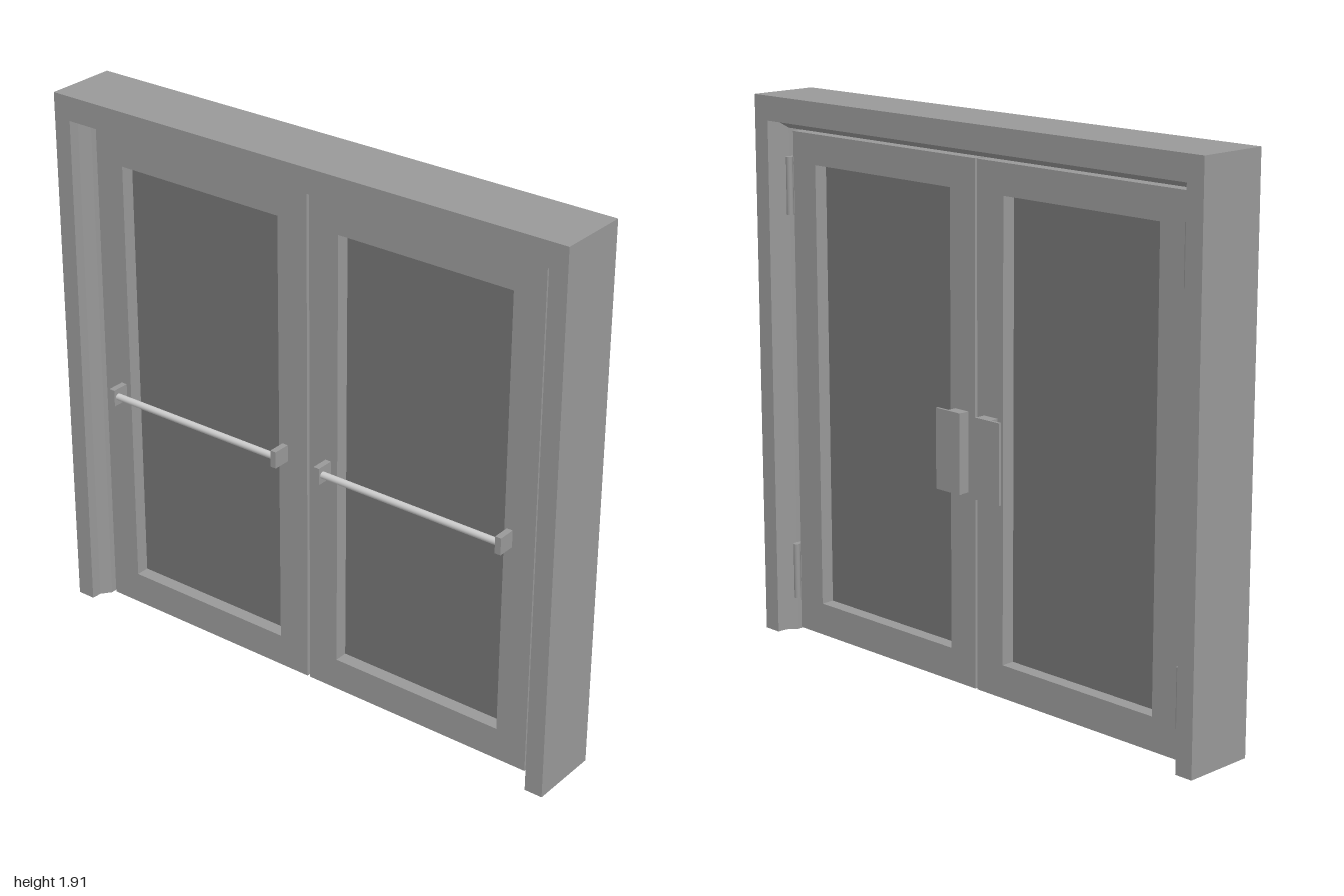
import * as THREE from 'three';

const grey = new THREE.MeshStandardMaterial({ color: 0x999999 });
const pane = new THREE.MeshStandardMaterial({ color: 0x757575 });
const steel = new THREE.MeshStandardMaterial({ color: 0xcccccc });

function add(parent, name, geometry, x = 0, y = 0, z = 0, material = grey) {
  const mesh = new THREE.Mesh(geometry, material);
  mesh.name = name;
  mesh.position.set(x, y, z);
  parent.add(mesh);
  return mesh;
}

// Chamfered section swept with mitred corners: up one jamb, along the head, down the other
function frameGeometry() {
  const H = 1.912;
  const section = [[0, -0.128], [0, 0.128], [0.065, 0.128], [0.067, 0.092], [0.093, 0.058],
    [0.093, -0.058], [0.067, -0.092], [0.065, -0.128]];
  const rings = [0, 1, 2, 3].map(i => section.map(([inset, z]) => {
    const side = i < 2 ? -1 : 1;
    const top = H - inset - (inset > 0 ? 0.02 : 0);
    return [side * (1 - inset), i === 1 || i === 2 ? top : 0, z];
  }));
  const positions = [];
  const tri = (a, b, c) => positions.push(...a, ...b, ...c);
  const n = section.length;
  for (let i = 0; i < 3; i++) {
    for (let j = 0; j < n; j++) {
      const k = (j + 1) % n;
      const [a, b, c, d] = [rings[i][j], rings[i][k], rings[i + 1][k], rings[i + 1][j]];
      tri(a, b, c);
      tri(a, c, d);
    }
  }
  // Feet of the jambs
  const outline = section.map(([inset, z]) => new THREE.Vector2(inset, z));
  for (const [a, b, c] of THREE.ShapeUtils.triangulateShape(outline, [])) {
    const [p, q, r] = [a, b, c].sort((u, v) => u - v);
    tri(rings[0][p], rings[0][r], rings[0][q]);
    tri(rings[3][p], rings[3][q], rings[3][r]);
  }
  const geometry = new THREE.BufferGeometry();
  geometry.setAttribute('position', new THREE.Float32BufferAttribute(positions, 3));
  geometry.computeVertexNormals();
  return geometry;
}

function rectangle(path, x0, y0, x1, y1) {
  path.moveTo(x0, y0);
  path.lineTo(x1, y0);
  path.lineTo(x1, y1);
  path.lineTo(x0, y1);
  path.closePath();
  return path;
}

// One door leaf; s = 1 for the left leaf, -1 for the right
function createDoor(s) {
  const door = new THREE.Group();
  door.name = s > 0 ? 'leftDoor' : 'rightDoor';
  // Box between two opposite corners, mirrored to this leaf's side
  const box = (name, [x0, y0, z0], [x1, y1, z1], material) => add(door, name,
    new THREE.BoxGeometry(x1 - x0, y1 - y0, z1 - z0),
    s * (x0 + x1) / 2, (y0 + y1) / 2, (z0 + z1) / 2, material);

  // Stiles and rails around the pane
  const outline = rectangle(new THREE.Shape(), ...(s > 0 ? [0.005, 0.012, 0.886, 1.79] : [-0.886, 0.012, -0.005, 1.79]));
  outline.holes.push(rectangle(new THREE.Path(), ...(s > 0 ? [0.119, 0.127, 0.772, 1.685] : [-0.775, 0.127, -0.122, 1.685])));
  add(door, 'doorFrame', new THREE.ExtrudeGeometry(outline, { depth: 0.116, bevelEnabled: false }), 0, 0, -0.058);
  box('glass', [0.115, 0.124, -0.01], [0.778, 1.688, 0.01], pane);

  // Push bar on the front
  const inner = s > 0 ? 0.082 : 0.097;
  const outer = s > 0 ? 0.792 : 0.805;
  for (const x of [inner, outer]) {
    box('barBracket', [x - 0.011, 0.82, 0.055], [x + 0.011, 0.88, 0.121]);
  }
  const bar = add(door, 'pushBar', new THREE.CylinderGeometry(0.012, 0.012, outer - inner, 24),
    s * (inner + outer) / 2, 0.85, 0.102, steel);
  bar.rotation.z = Math.PI / 2;

  // Pull on the back: a plate standing off on a block at its inner edge
  box('pullPlate', [0.035, 0.685, -0.1], [0.145, 0.96, -0.09]);
  box('pullBlock', [0.036, 0.686, -0.091], [0.098, 0.959, -0.055]);

  // Hinges at the outer edge
  for (const y of [0.224, 1.602]) {
    box('hingeLeaf', [0.884, y - 0.1, -0.06], [0.91, y + 0.1, -0.02]);
    add(door, 'hingeKnuckle', new THREE.CylinderGeometry(0.012, 0.012, 0.2, 12), s * 0.896, y, -0.068);
  }
  return door;
}

export function createModel() {
  const model = new THREE.Group();
  model.name = 'doubleDoor';
  add(model, 'doorway', frameGeometry());
  for (const s of [-1, 1]) model.add(createDoor(s));
  return model;
}
